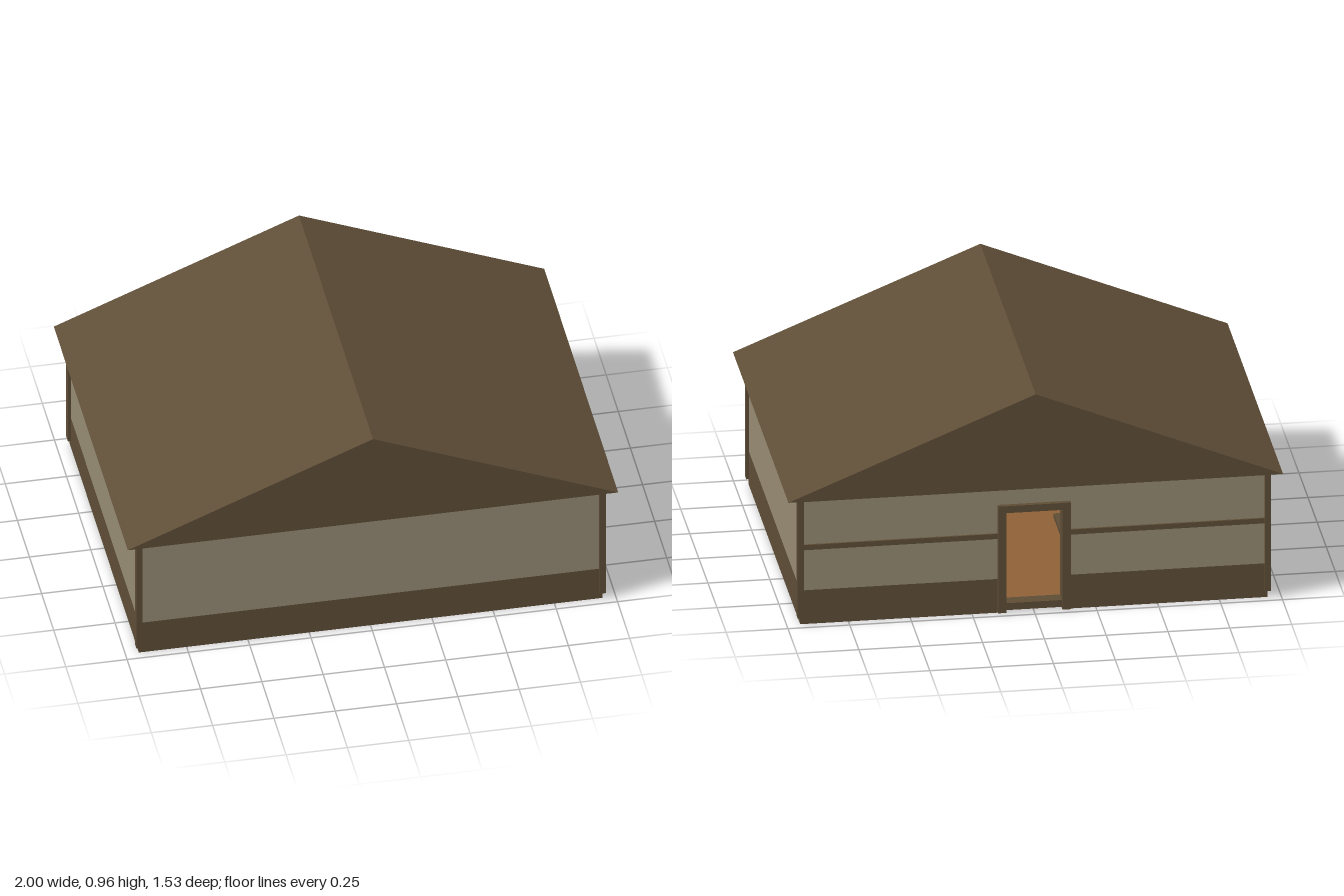
import * as THREE from 'three';

export function createModel() {
  const model = new THREE.Group();
  model.name = 'house';

  const paint = (name, color) => {
    const m = new THREE.MeshStandardMaterial({ color });
    m.name = name;
    return m;
  };
  const timber = paint('dark timber', 0x5e4d36);
  const plaster = paint('beige plaster', 0x968b73);
  const boards = paint('warm floorboards', 0x8f6238);
  const stone = paint('grey stone', 0x959080);

  // Box given by its limits on each axis
  const box = (name, mat, x0, x1, y0, y1, z0, z1) => {
    const mesh = new THREE.Mesh(new THREE.BoxGeometry(x1 - x0, y1 - y0, z1 - z0), mat);
    mesh.position.set((x0 + x1) / 2, (y0 + y1) / 2, (z0 + z1) / 2);
    mesh.name = name;
    model.add(mesh);
    return mesh;
  };

  const W = 0.945, D = 0.713, T = 0.05;      // wall half sizes and thickness
  const SKIRT = 0.147, TOP = 0.555, DOOR = 0.12, DOORTOP = 0.44;

  // One stretch of wall: timber skirting below, plaster above
  const wall = (name, x0, x1, z0, z1) => {
    box(name + 'Skirting', timber, x0, x1, 0, SKIRT, z0, z1);
    box(name + 'Plaster', plaster, x0, x1, SKIRT, TOP, z0, z1);
  };
  wall('frontWall', -W, W, D - T, D);
  for (const s of [-1, 1]) {
    const side = s > 0 ? 'left' : 'right';
    const span = (a, b) => [Math.min(s * a, s * b), Math.max(s * a, s * b)];
    wall(side + 'Wall', ...span(W - T, W), -D + T, D - T);
    wall(side + 'BackWall', ...span(DOOR, W), -D, -D + T);

    // Thin rail across the back wall on each side of the door
    box(side + 'BackRail', timber, ...span(DOOR, W), 0.325, 0.347, -D - 0.008, -D + 0.01);

    // Corner posts and top beams
    for (const t of [-1, 1]) {
      const z = [t * 0.69, t * 0.724].sort((a, b) => a - b);
      box(side + (t > 0 ? 'Front' : 'Back') + 'Post', timber, ...span(0.932, 0.957), 0.03, TOP, ...z);
    }
    box(side + 'TopBeam', timber, ...span(W - 0.01, W + 0.008), 0.535, TOP, -0.69, 0.69);

    // Door jambs
    box(side + 'DoorJamb', timber, ...span(0.113, 0.147), 0.005, 0.47, -0.732, -0.655);

    // Inner wall lining
    box(side + 'Lining', boards, ...span(W - T - 0.006, W - T), 0.04, 0.55, -D + T, D - T);
  }
  box('overDoorWall', plaster, -DOOR, DOOR, DOORTOP, TOP, -D, -D + T);
  box('doorLintel', timber, -0.113, 0.113, DOORTOP, 0.47, -0.732, -0.655);
  box('threshold', timber, -0.113, 0.113, 0.012, 0.042, -0.72, -D + T);
  box('frontTopBeam', timber, -0.932, 0.932, 0.535, TOP, D - 0.01, D + 0.008);
  box('backTopBeam', timber, -0.932, 0.932, 0.535, TOP, -D - 0.008, -D + 0.01);
  box('frontLining', boards, -W + T, W - T, 0.04, 0.55, D - T - 0.006, D - T);

  // Floor and ceiling
  box('floor', boards, -W + T, W - T, 0.028, 0.04, -D + T, D - T);
  box('ceiling', boards, -W + T, W - T, 0.545, 0.553, -D + T, D - T);
  box('ceilingBeam', timber, -0.5, -0.46, 0.51, 0.546, -D + T, D - T);

  // Gabled roof with closed ends
  const gable = new THREE.Shape([[-1, 0.555], [1, 0.555], [0, 0.965]].map(p => new THREE.Vector2(...p)));
  const roof = new THREE.Mesh(
    new THREE.ExtrudeGeometry(gable, { depth: 1.528, bevelEnabled: false }), timber);
  roof.position.z = -0.764;
  roof.name = 'roof';
  model.add(roof);

  // Two trestle tables
  for (const [x0, x1, z] of [[0.41, 0.69, -0.285], [-0.45, -0.205, -0.235]]) {
    box('tableTop', timber, x0 - 0.04, x1 + 0.04, 0.145, 0.165, z - 0.1, z + 0.1);
    for (const x of [x0, x1])
      box('tableLeg', timber, x - 0.01, x + 0.01, 0.025, 0.145, z - 0.06, z + 0.06);
  }

  // Counter with a return at its end, and barrels behind it
  box('counter', timber, -0.34, W - T, 0.024, 0.2, 0.4, 0.47);
  box('counterReturn', timber, -0.34, -0.27, 0.024, 0.2, 0.47, 0.6);
  for (const x of [0.81, -0.21]) {
    const profile = [[0, 0], [0.06, 0], [0.075, 0.07], [0.06, 0.14], [0, 0.14]];
    const barrel = new THREE.Mesh(
      new THREE.LatheGeometry(profile.map(p => new THREE.Vector2(...p)), 16), timber);
    barrel.position.set(x, 0.024, 0.555);
    barrel.name = 'barrel';
    model.add(barrel);
  }

  // Low stone hearth by the right wall
  box('hearth', stone, -0.84, -0.73, 0.024, 0.16, -0.49, 0.07);

  return model;
}
